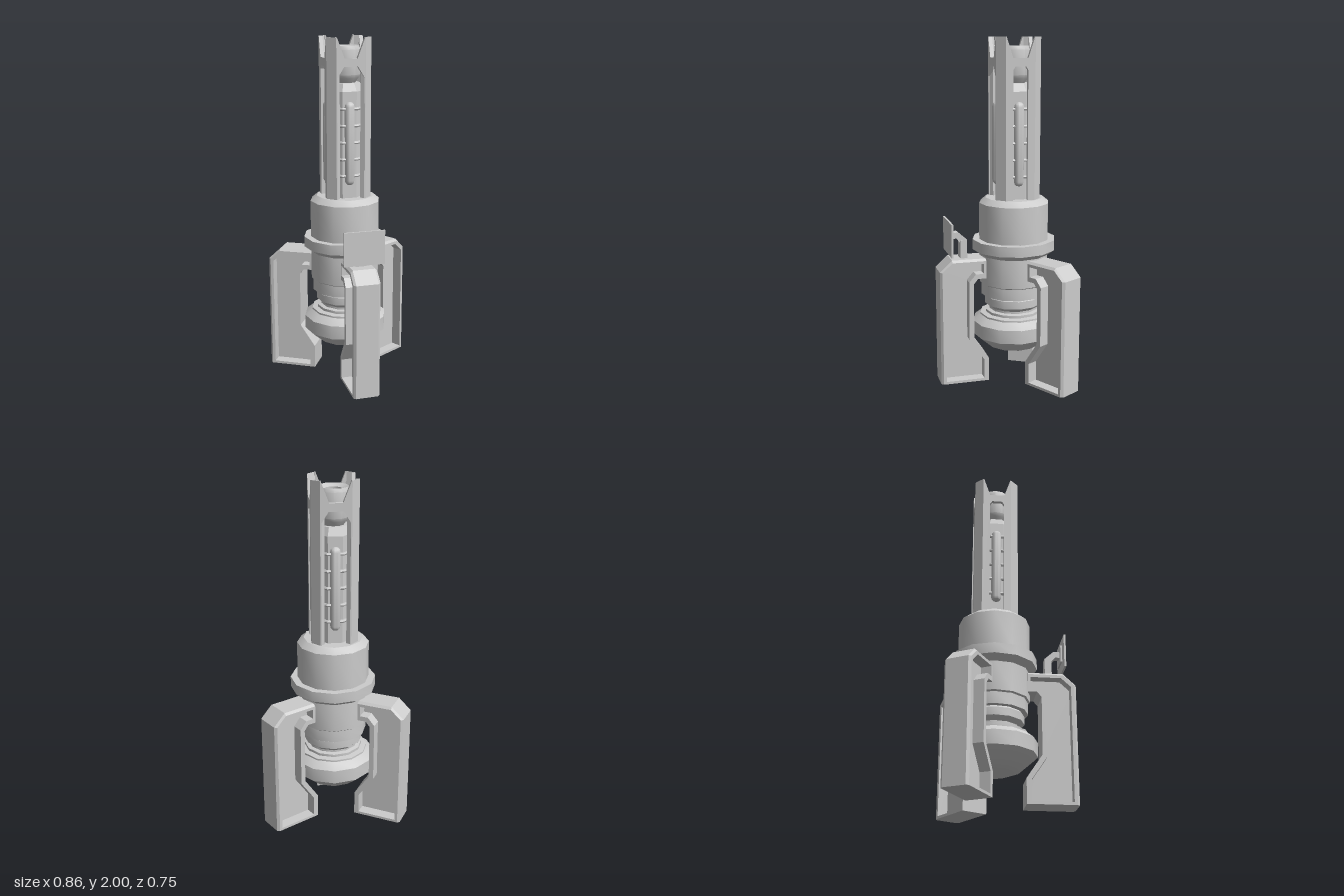
import * as THREE from 'three';
import { toCreasedNormals } from 'three/addons/utils/BufferGeometryUtils.js';

const smooth = new THREE.MeshStandardMaterial({ color: 0xcccccc });
const flat = new THREE.MeshStandardMaterial({ color: 0xcccccc, flatShading: true });

function add(parent, name, geometry, material = flat) {
  const mesh = new THREE.Mesh(geometry, material);
  mesh.name = name;
  parent.add(mesh);
  return mesh;
}

const outline = (pts) => pts.map(([x, y]) => new THREE.Vector2(x, y));

// Turned part, rounded around the axis and sharp along it
function turned(profile) {
  return toCreasedNormals(new THREE.LatheGeometry(outline(profile), 12, -0.08), 0.6);
}

// Slab cut from a side profile, centred on its thickness
function slab(pts, depth, hole, steps = 1) {
  const shape = new THREE.Shape(outline(pts));
  if (hole) shape.holes.push(new THREE.Path(outline(hole)));
  return new THREE.ExtrudeGeometry(shape, { depth, steps, bevelEnabled: false })
    .translate(0, 0, -depth / 2);
}

// Moves every vertex by a rule
function reshape(geo, rule) {
  const pos = geo.attributes.position;
  const v = new THREE.Vector3();
  for (let i = 0; i < pos.count; i++) {
    rule(v.fromBufferAttribute(pos, i));
    pos.setXYZ(i, v.x, v.y, v.z);
  }
  geo.computeVertexNormals();
  return geo;
}

// Leg: rim frame with beveled outer edges around a thin recessed web
function buildLeg() {
  const leg = new THREE.Group();
  leg.name = 'leg';
  const profile = [[0.172, 0], [0.457, 0], [0.457, 0.68], [0.385, 0.747], [0.185, 0.747],
    [0.185, 0.63], [0.235, 0.63], [0.26, 0.6], [0.26, 0.27], [0.172, 0.14]];
  const recess = [[0.2, 0.015], [0.427, 0.015], [0.427, 0.667], [0.372, 0.717], [0.2, 0.717],
    [0.2, 0.658], [0.248, 0.658], [0.288, 0.612], [0.288, 0.262], [0.2, 0.132]];
  const rim = reshape(slab(profile, 0.156, recess, 3), (v) => {
    if (Math.abs(v.z) < 0.07) v.z = Math.sign(v.z) * 0.065;
    else {
      if (v.x > 0.45) v.x -= 0.013;
      if (v.y > 0.74) v.y -= 0.013;
    }
  });
  add(leg, 'legRim', rim);
  add(leg, 'legWeb', slab(profile.map(([x, y]) => [
    THREE.MathUtils.clamp(x, 0.18, 0.45), THREE.MathUtils.clamp(y, 0.005, 0.73)]), 0.03));
  return leg;
}

// Tower wall with a window and a notched top
function wallGeometry(windowHalf, topHalf, notchHalf) {
  const w = 0.085, h = windowHalf, t = topHalf;
  const shoulder = 1.84 - (h - t) * 1.6;
  return slab(
    [[-w, 1.05], [w, 1.05], [w, 2], [0.081, 2], [notchHalf, 1.885],
      [-notchHalf, 1.885], [-0.081, 2], [-w, 2]],
    0.022,
    [[-h, 1.08], [h, 1.08], [h, shoulder], [t, 1.84], [-t, 1.84], [-h, shoulder]]
  ).translate(0, 0, 0.119);
}

// Corner post, its top tapering outward above the notches
function postGeometry() {
  const plan = [[0.085, 0.13], [0.06, 0.108], [0.108, 0.06], [0.13, 0.085]];
  const post = slab(plan, 0.95, null, 2).rotateX(-Math.PI / 2).translate(0, 1.525, 0);
  return reshape(post, (v) => {
    if (v.y > 1.9 && Math.hypot(v.x, v.z) < 0.13) {
      v.x += 0.022 * Math.sign(v.x);
      v.z += 0.022 * Math.sign(v.z);
    } else if (v.y > 1.5 && v.y < 1.6) v.y = 1.885;
  });
}

function buildTower() {
  const tower = new THREE.Group();
  tower.name = 'tower';
  const wide = wallGeometry(0.078, 0.04, 0.037);
  const narrow = wallGeometry(0.043, 0.03, 0.043);
  const post = postGeometry();
  const bar = toCreasedNormals(new THREE.CapsuleGeometry(0.029, 0.42, 3, 10), 0.7)
    .translate(0, 1.405, 0.1);
  for (let i = 0; i < 4; i++) {
    const turn = i * Math.PI / 2;
    add(tower, 'towerWall', i % 2 ? narrow : wide).rotation.y = turn;
    add(tower, 'cornerPost', post).rotation.y = turn;
    add(tower, 'coreBar', bar, smooth).rotation.y = turn;
  }
  // Eight-sided core with a chamfered top, ringed by rungs
  const core = new THREE.LatheGeometry(
    outline([[0.108, 1.06], [0.108, 1.7], [0.085, 1.745], [0, 1.745]]), 8, Math.PI / 8);
  add(tower, 'core', core);
  const ring = new THREE.TorusGeometry(0.113, 0.009, 6, 8)
    .rotateX(Math.PI / 2).rotateY(Math.PI / 8);
  for (let i = 0; i < 5; i++) add(tower, 'coreRing', ring).position.y = 1.22 + i * 0.096;
  // Nozzle with a shallow bore
  add(tower, 'nozzle', turned([[0.05, 1.73], [0.08, 1.77], [0.09, 1.79], [0.09, 1.93],
    [0.082, 1.95], [0.047, 1.935], [0.047, 1.91], [0, 1.91]]), smooth);
  return tower;
}

// Flat panel on a bent bracket
function buildPanel() {
  const panel = new THREE.Group();
  panel.name = 'panelMount';
  const place = (name, w, h, d, y, z) =>
    add(panel, name, new THREE.BoxGeometry(w, h, d)).position.set(0, y, z);
  place('panel', 0.236, 0.195, 0.011, 0.872, 0.307);
  place('panelBoss', 0.11, 0.1, 0.01, 0.88, 0.297);
  place('bracketFoot', 0.064, 0.11, 0.04, 0.8, 0.223);
  const bracket = slab([[0.205, 0.74], [0.24, 0.74], [0.24, 0.835], [0.265, 0.865],
    [0.3, 0.865], [0.3, 0.9], [0.255, 0.9], [0.205, 0.855]], 0.05);
  add(panel, 'bracket', bracket.rotateY(-Math.PI / 2));
  return panel;
}

export function createModel() {
  const model = new THREE.Group();
  model.name = 'launcher';
  const axis = new THREE.Group();
  axis.name = 'machine';
  axis.position.z = -0.085;
  model.add(axis);

  // Lower bell, grooved neck, drum, flange and collar
  add(axis, 'body', turned([[0, 0.175], [0.1, 0.175], [0.16, 0.198], [0.245, 0.27],
    [0.245, 0.35], [0.2, 0.385], [0.2, 0.395], [0.168, 0.4], [0.168, 0.415], [0.145, 0.42],
    [0.145, 0.432], [0.172, 0.455], [0.172, 0.5], [0.16, 0.512], [0.193, 0.512],
    [0.193, 0.58], [0.203, 0.587], [0.203, 0.755], [0.245, 0.785], [0.245, 0.845],
    [0.205, 0.845], [0.205, 1.06], [0.168, 1.09], [0, 1.09]]), smooth);

  axis.add(buildTower());
  for (let i = 0; i < 3; i++) {
    const leg = buildLeg();
    leg.rotation.y = -Math.PI / 2 + i * 2 * Math.PI / 3;
    axis.add(leg);
  }
  model.add(buildPanel());
  return model;
}
